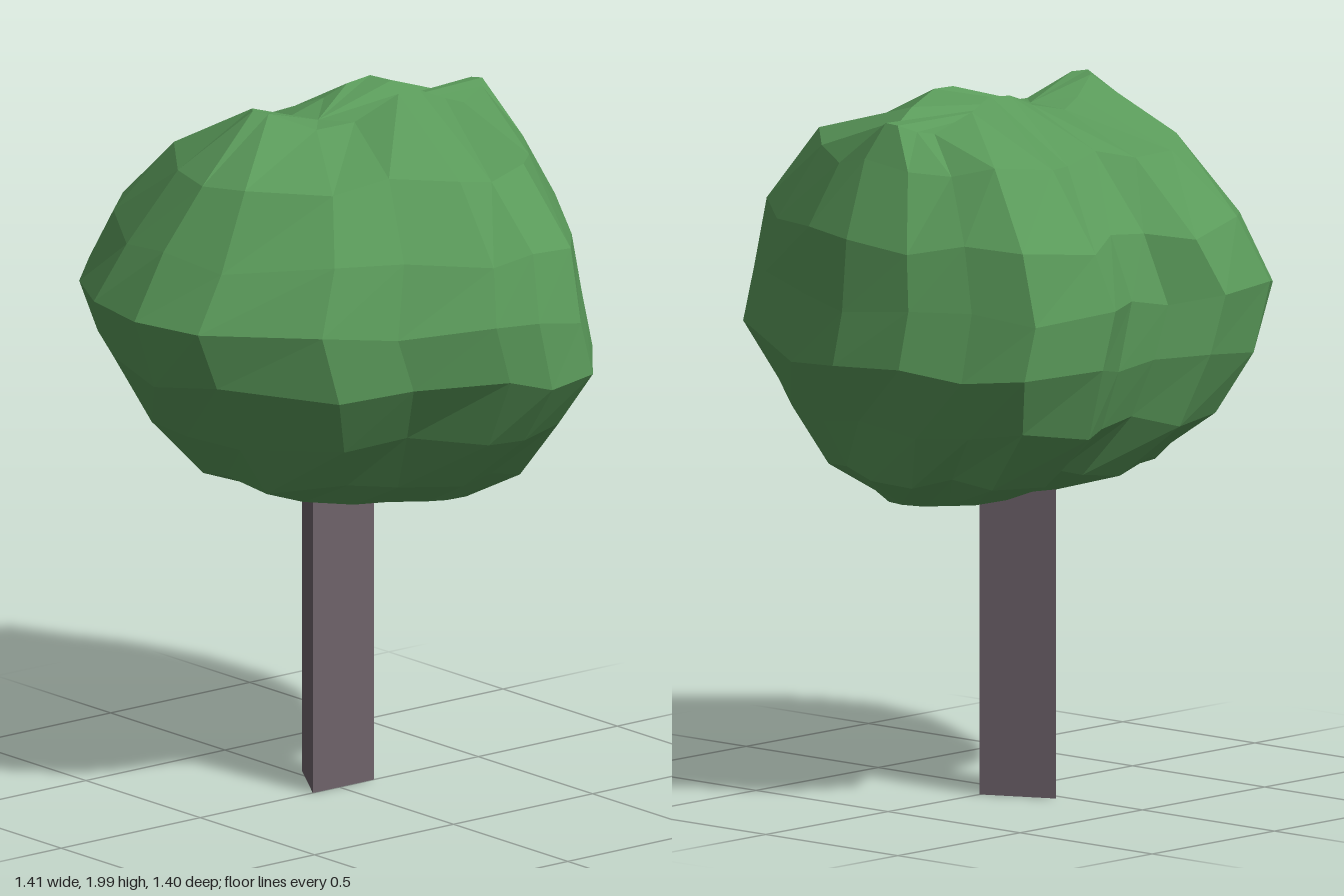
import * as THREE from 'three';

// Plan outline of the crown (x, z), walked from the right side round the back
const PLAN = [
  [-0.71, -0.04], [-0.66, -0.28], [-0.49, -0.55], [-0.37, -0.65], [-0.12, -0.71],
  [0, -0.6], [0.14, -0.59], [0.29, -0.665], [0.53, -0.58], [0.6, -0.4],
  [0.69, -0.24], [0.705, 0], [0.66, 0.2], [0.48, 0.5], [0.32, 0.69],
  [0.16, 0.7], [0.04, 0.655], [-0.2, 0.51], [-0.42, 0.44], [-0.66, 0.18],
];

// Crown levels: y, then the extents xMin, xMax, zMin, zMax
const LEVELS = [
  [0.87, -0.22, 0.42, -0.22, 0.26],
  [0.945, -0.39, 0.56, -0.42, 0.43],
  [1.1, -0.52, 0.62, -0.6, 0.59],
  [1.28, -0.65, 0.705, -0.68, 0.71],
  [1.45, -0.71, 0.68, -0.695, 0.7],
  [1.63, -0.61, 0.66, -0.63, 0.64],
  [1.83, -0.49, 0.57, -0.43, 0.47],
  [1.955, -0.29, 0.53, -0.13, 0.09],
];

function crownGeometry() {
  const n = PLAN.length, top = LEVELS.length - 1;
  const pos = [], index = [];
  LEVELS.forEach(([y, x0, x1, z0, z1], k) => {
    PLAN.forEach(([px, pz], i) => {
      const x = THREE.MathUtils.mapLinear(px, -0.71, 0.705, x0, x1);
      const z = THREE.MathUtils.mapLinear(pz, -0.71, 0.7, z0, z1);
      // Uneven facets; the ridge dips once and the underside sags to one side
      let dy = 0.018 * Math.sin(i * 2.1 + k * 1.7);
      if (k === top) dy = 0.04 * Math.cos((x - 0.18) * 13);
      if (k === 0) dy = -0.04 * (x + z);
      pos.push(x, y + dy, z);
    });
  });
  for (let k = 0; k < top; k++) {
    for (let i = 0; i < n; i++) {
      const a = k * n + i, b = k * n + (i + 1) % n, c = a + n, d = b + n;
      index.push(a, c, b, b, c, d);
    }
  }
  // Close the underside and the ridge
  const low = pos.length / 3, high = low + 1;
  pos.push(0.08, 0.86, 0, -0.06, 1.93, -0.02);
  for (let i = 0; i < n; i++) {
    const j = (i + 1) % n;
    index.push(low, i, j, high, top * n + j, top * n + i);
  }
  const indexed = new THREE.BufferGeometry();
  indexed.setAttribute('position', new THREE.Float32BufferAttribute(pos, 3));
  indexed.setIndex(index);
  const geometry = indexed.toNonIndexed();
  geometry.computeVertexNormals();
  return geometry;
}

function trunkGeometry() {
  // Three-sided post; shape y becomes -z once stood upright
  const section = new THREE.Shape([
    new THREE.Vector2(-0.095, 0), new THREE.Vector2(0.125, 0), new THREE.Vector2(0.03, 0.2),
  ]);
  return new THREE.ExtrudeGeometry(section, { depth: 0.95, bevelEnabled: false }).rotateX(-Math.PI / 2);
}

export function createModel() {
  const tree = new THREE.Group();
  tree.name = 'tree';
  const add = (name, geometry, color) => {
    const material = new THREE.MeshStandardMaterial({ color, flatShading: true });
    const mesh = new THREE.Mesh(geometry, material);
    mesh.name = name;
    tree.add(mesh);
  };
  add('trunk', trunkGeometry(), 0x6e626a);
  add('crown', crownGeometry(), 0x5a9a5a);
  return tree;
}
